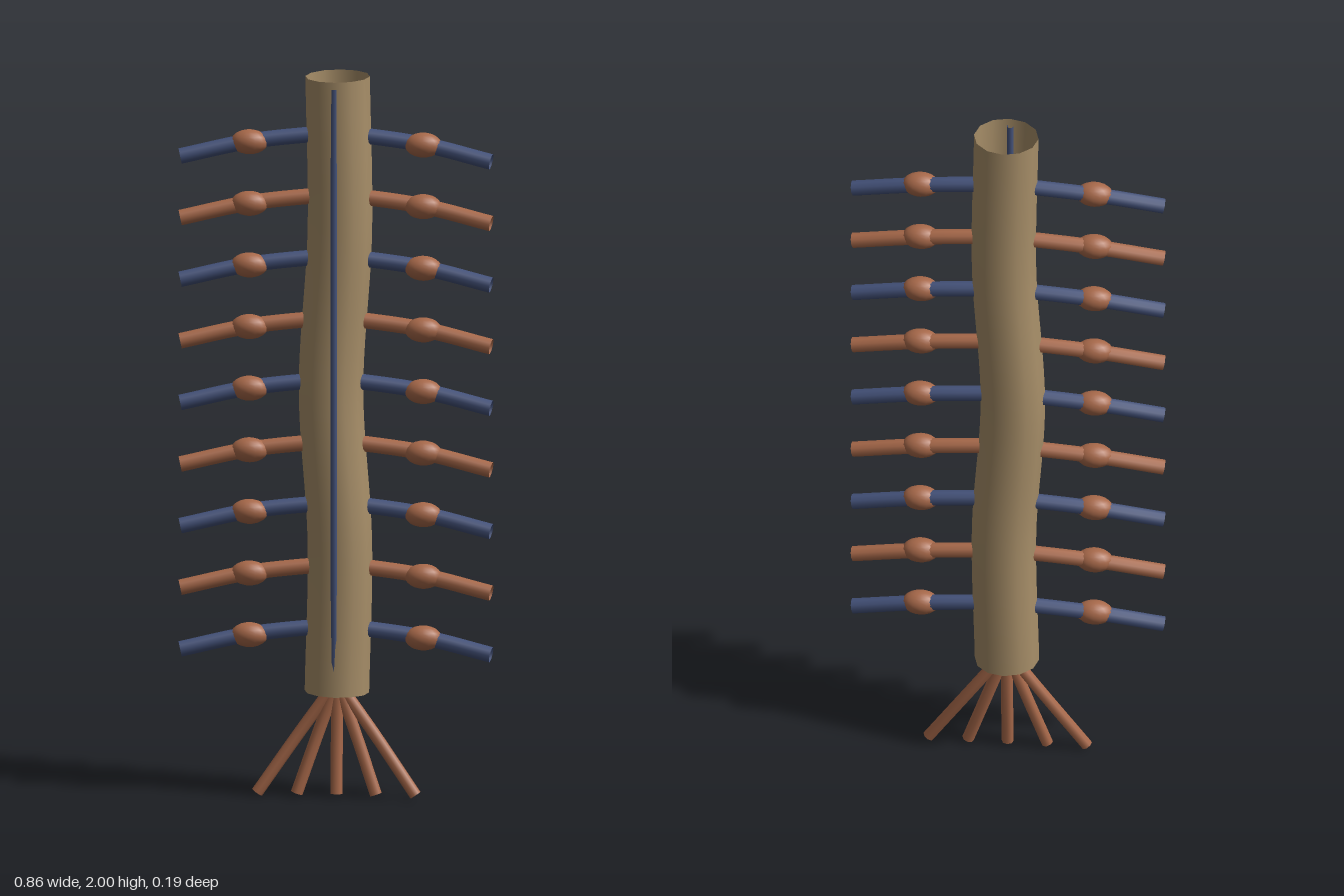
import * as THREE from 'three';

const material = (name, color) => {
  const m = new THREE.MeshStandardMaterial({ color, side: THREE.DoubleSide });
  m.name = name;
  return m;
};

// Open tube swept along a smooth curve through a few points
function tube(name, points, radius, sides, segments, mat) {
  const curve = new THREE.CatmullRomCurve3(points.map((p) => new THREE.Vector3(...p)));
  const mesh = new THREE.Mesh(new THREE.TubeGeometry(curve, segments, radius, sides), mat);
  mesh.name = name;
  return mesh;
}

export function createModel() {
  const tan = material('cord tan', 0xa88f69);
  const copper = material('copper', 0xa8694a);
  const blue = material('slate blue', 0x44527a);
  const model = new THREE.Group();
  model.name = 'spinalCord';

  // Gently swaying hollow cord
  model.add(tube('cord', [
    [0.002, 2, -0.007], [0.008, 1.57, -0.007], [-0.016, 1.13, -0.007],
    [0.008, 0.71, -0.007], [0, 0.293, -0.007],
  ], 0.088, 12, 40, tan));

  // Thin vessel down the front, sinking into the cord at both ends
  model.add(tube('frontVessel', [
    [0, 1.98, 0.074], [0, 1.57, 0.081], [0, 1.13, 0.086], [0, 0.71, 0.081], [0, 0.31, 0.07],
  ], 0.009, 8, 32, blue));

  // Nine pairs of nerves, alternating in colour, each with a ganglion
  const ganglionShape = new THREE.SphereGeometry(1, 16, 12);
  for (let i = 0; i < 9; i++) {
    const y = 1.845 - i * 0.171;
    for (const side of [1, -1]) {
      const pair = new THREE.Group();
      pair.name = (side > 0 ? 'left' : 'right') + 'Nerve' + (i + 1);
      pair.add(tube('nerve', [
        [0, y, -0.008], [side * 0.235, y - 0.027, 0.006], [side * 0.424, y - 0.067, 0.03],
      ], 0.0215, 10, 14, i % 2 ? copper : blue));
      const ganglion = new THREE.Mesh(ganglionShape, copper);
      ganglion.name = 'ganglion';
      ganglion.scale.set(0.051, 0.034, 0.035);
      ganglion.position.set(side * 0.237, y - 0.028, 0.01);
      pair.add(ganglion);
      model.add(pair);
    }
  }

  // Fan of roots below the cord
  for (let i = -2; i <= 2; i++) {
    model.add(tube('tailRoot' + (i + 3), [
      [0, 0.32, -0.01], [i * 0.05, 0.18, -0.006], [i * 0.108, 0.012, 0.011],
    ], 0.0165, 8, 12, copper));
  }
  return model;
}
